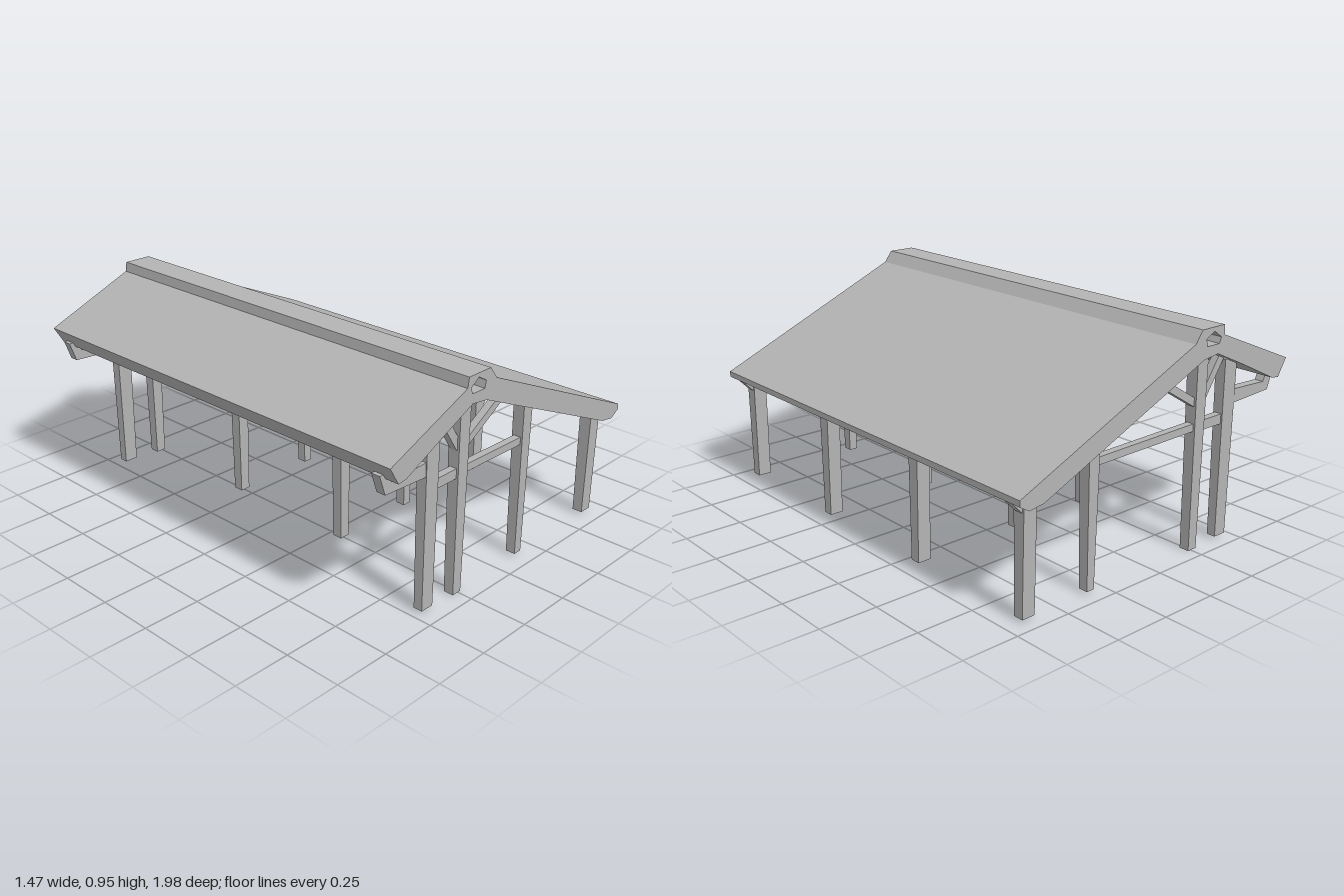
import * as THREE from 'three';

export function createModel() {
  const model = new THREE.Group();
  model.name = 'openShelter';
  const timber = new THREE.MeshStandardMaterial({ color: 0xb4b4b4 });
  timber.name = 'plain grey';

  // Extrudes an outline in x/y along z, between z0 and z1
  function slab(name, points, z0, z1, hole) {
    const toVec = ([x, y]) => new THREE.Vector2(x, y);
    const shape = new THREE.Shape(points.map(toVec));
    if (hole) shape.holes.push(new THREE.Path(hole.map(toVec)));
    const geo = new THREE.ExtrudeGeometry(shape, { depth: z1 - z0, bevelEnabled: false });
    geo.translate(0, 0, z0);
    const mesh = new THREE.Mesh(geo, timber);
    mesh.name = name;
    model.add(mesh);
  }

  // Tapered square post: bottom and top widths in x, depth in z
  function post(name, x, z, top, wBottom, wTop, depth, base = 0.012) {
    const geo = new THREE.BoxGeometry(1, top - base, depth);
    const p = geo.attributes.position;
    for (let i = 0; i < p.count; i++) {
      const upper = p.getY(i) > 0;
      p.setX(i, p.getX(i) * (upper ? wTop : wBottom));
      p.setZ(i, p.getZ(i) * (upper ? 1.15 : 0.95));
    }
    geo.computeVertexNormals();
    const mesh = new THREE.Mesh(geo, timber);
    mesh.name = name;
    mesh.position.set(x, (top + base) / 2, z);
    model.add(mesh);
  }

  // Straight bar between two points of a frame at depth z
  function bar(name, [x0, y0], [x1, y1], z, thick) {
    const length = Math.hypot(x1 - x0, y1 - y0);
    const mesh = new THREE.Mesh(new THREE.BoxGeometry(length, thick, 0.032), timber);
    mesh.name = name;
    mesh.position.set((x0 + x1) / 2, (y0 + y1) / 2, z);
    mesh.rotation.z = Math.atan2(y1 - y0, x1 - x0);
    model.add(mesh);
  }

  // Uneven gable roof with a raised ridge cap and a hollow ridge
  slab('roof', [
    [-0.735, 0.735], [-0.69, 0.66], [-0.65, 0.665], [-0.46, 0.757], [-0.29, 0.835], [-0.21, 0.825],
    [0.62, 0.468], [0.69, 0.458], [0.735, 0.485], [0.735, 0.51], [-0.155, 0.897], [-0.193, 0.947],
    [-0.32, 0.947], [-0.326, 0.905],
  ], -0.99, 0.99, [
    [-0.295, 0.875], [-0.305, 0.9], [-0.262, 0.93], [-0.218, 0.905], [-0.225, 0.875],
  ]);

  const frames = [0.91, 0.31, -0.31, -0.92];
  frames.forEach((z, i) => {
    const isEnd = i === 0 || i === 3;
    const isBack = i === 3;

    // Posts under the low eave and the ridge
    post('eavePost', 0.645, z, 0.475, 0.06, 0.062, 0.047);
    post('ridgePost', -0.258, z, 0.85, 0.046, 0.062, 0.047, isEnd ? 0 : 0.012);

    // Post under the long slope, set further out in the back frame
    if (isBack) post('slopePost', 0.328, z, 0.61, 0.036, 0.056, 0.045);
    else post('slopePost', 0.143, z, 0.69, 0.04, 0.056, 0.045);

    // Forked braces from the ridge post to the slopes
    bar('longBrace', [-0.25, 0.625], [-0.02, 0.765], z, 0.032);
    bar('shortBrace', [-0.265, 0.62], [-0.385, 0.8], z, 0.034);

    if (!isEnd) return;
    post('outerPost', -0.435, z, 0.78, 0.062, 0.072, 0.042);
    bar('tieBeam', [-0.43, 0.53], [-0.25, 0.53], z, 0.042);
    bar('tieBeam', [-0.25, 0.532], [isBack ? 0.328 : 0.143, 0.526], z, 0.032);

    // Hooked bracket carrying the high eave
    slab('eaveBracket', [
      [-0.43, 0.582], [-0.69, 0.595], [-0.72, 0.68], [-0.68, 0.68], [-0.658, 0.635], [-0.43, 0.645],
    ], z - 0.02, z + 0.02);

    // Small wedge where the low eave meets the corner post
    slab('eaveWedge', [[0.64, 0.47], [0.678, 0.43], [0.732, 0.486]], z - 0.02, z + 0.02);
  });

  return model;
}
